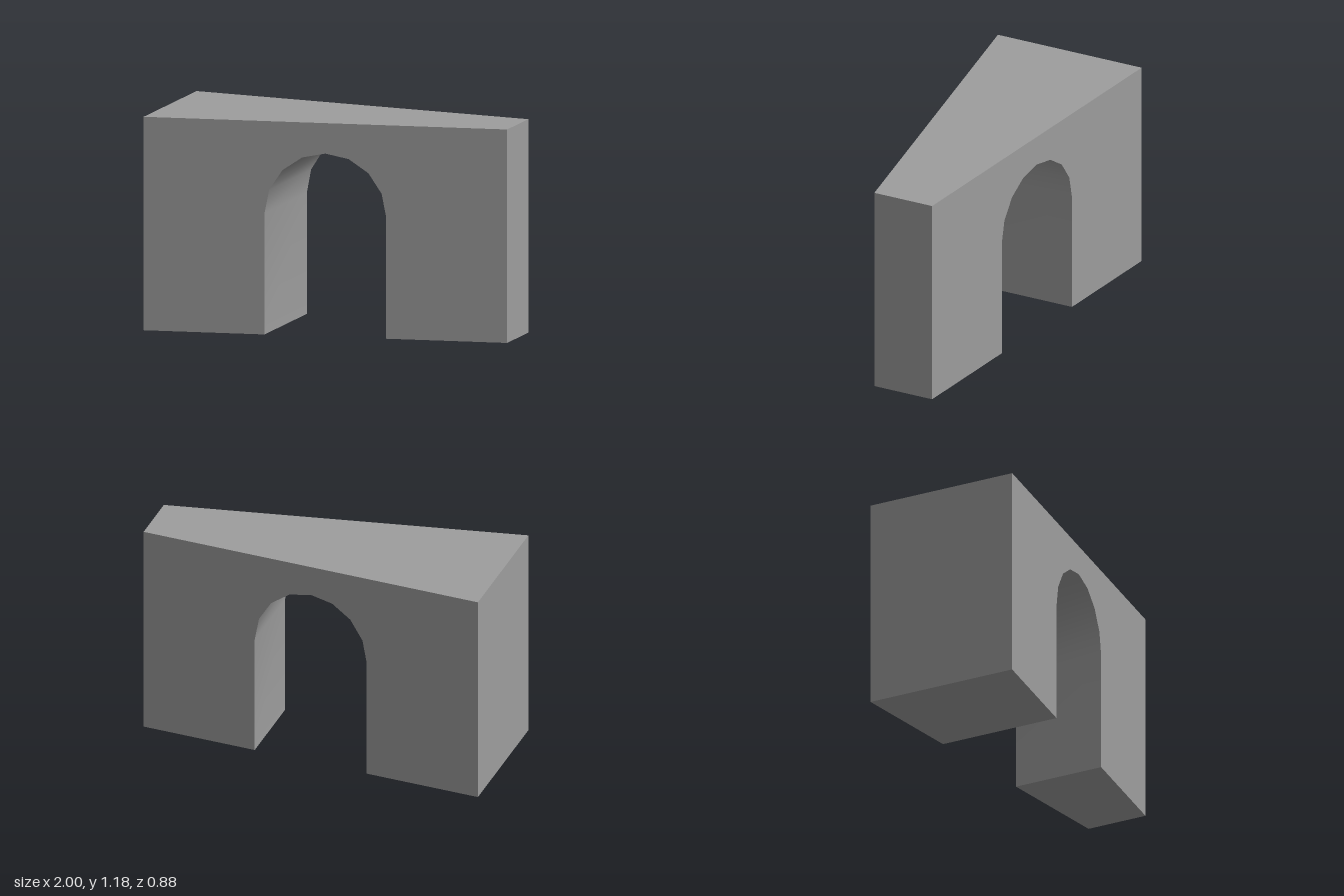
import * as THREE from 'three';
import { toCreasedNormals } from 'three/addons/utils/BufferGeometryUtils.js';

const HEIGHT = 1.177;
const SPRING = 0.668; // height where the arch begins to curve
const HALF_SPAN = 0.335;
const RISE = 0.341;

// Half thickness of the block, tapering from -x to +x
const halfDepth = (x) => 0.307 - 0.131 * x;

export function createModel() {
  const group = new THREE.Group();
  group.name = 'taperedArch';

  // Front outline: a block with a round-headed opening in eight facets
  const outline = new THREE.Shape();
  outline.moveTo(-1, 0);
  outline.lineTo(-HALF_SPAN, 0);
  outline.absellipse(0, SPRING, HALF_SPAN, RISE, Math.PI, 0, true);
  outline.lineTo(HALF_SPAN, 0);
  outline.lineTo(1, 0);
  outline.lineTo(1, HEIGHT);
  outline.lineTo(-1, HEIGHT);
  outline.closePath();

  const geometry = new THREE.ExtrudeGeometry(outline, { depth: 2, bevelEnabled: false, curveSegments: 4 });
  geometry.translate(0, 0, -1);

  // Taper the thickness along x
  const pos = geometry.attributes.position;
  for (let i = 0; i < pos.count; i++) pos.setZ(i, pos.getZ(i) * halfDepth(pos.getX(i)));

  // Smooth inside the arch, sharp at the block's edges
  const archway = new THREE.Mesh(
    toCreasedNormals(geometry, 0.5),
    new THREE.MeshStandardMaterial({ color: 0x9d9d9d })
  );
  archway.name = 'archBlock';
  group.add(archway);
  return group;
}
